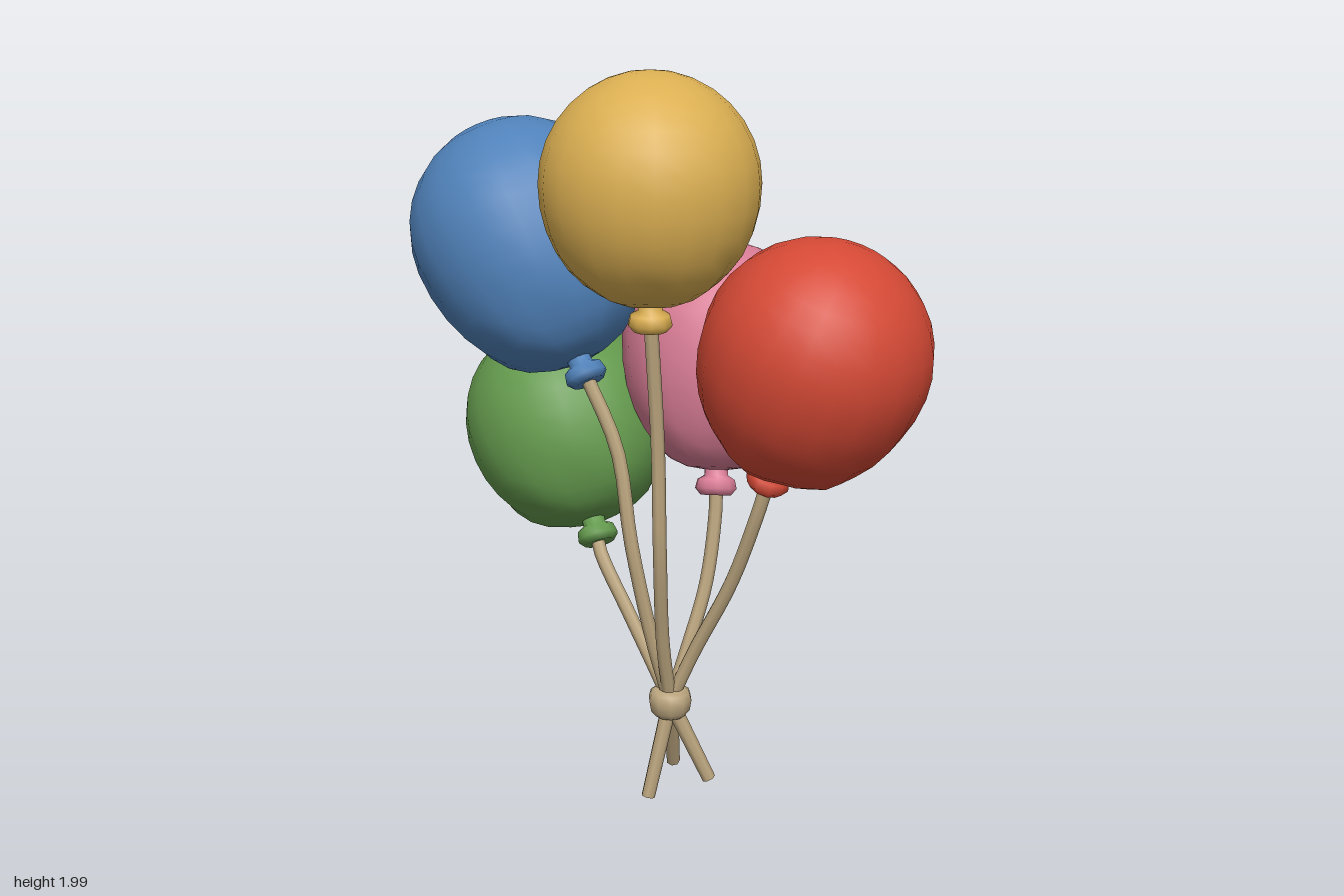
import * as THREE from 'three';
import { mergeVertices } from 'three/addons/utils/BufferGeometryUtils.js';

const V = (a) => new THREE.Vector3(...a);
const UP = new THREE.Vector3(0, 1, 0);

function material(name, color) {
  const m = new THREE.MeshStandardMaterial({ color });
  m.name = name;
  return m;
}

// Lathe with a welded seam so that the shading is smooth all round
function smoothLathe(points, sides, reshape) {
  let geo = new THREE.LatheGeometry(points.map(([x, y]) => new THREE.Vector2(x, y)), sides);
  geo.deleteAttribute('uv');
  geo.deleteAttribute('normal');
  geo = mergeVertices(geo, 1e-5);
  if (reshape) reshape(geo.attributes.position);
  geo.computeVertexNormals();
  return geo;
}

// Round on top, tapering below to the neck, with soft pinches near the neck
function bodyGeometry(radius, length) {
  const points = [];
  const steps = 8;
  for (let i = steps; i > 0; i--) {
    const a = (i / steps) * Math.PI / 2;
    const s = Math.sin(a);
    points.push([radius * Math.cos(a) * (1 - 0.1 * s) + 0.032 * s, -length * s]);
  }
  for (let i = 0; i <= steps; i++) {
    const a = (i / steps) * Math.PI / 2;
    points.push([i === steps ? 0 : radius * Math.cos(a), radius * Math.sin(a)]);
  }
  return smoothLathe(points, 20, (pos) => {
    for (let i = 0; i < pos.count; i++) {
      const x = pos.getX(i), y = pos.getY(i), z = pos.getZ(i);
      const w = THREE.MathUtils.smoothstep(-y / length, 0.55, 0.9);
      const k = 1 + 0.06 * w * Math.cos(5 * Math.atan2(x, z));
      pos.setXYZ(i, x * k, y, z * k);
    }
  });
}

const knotProfile = [[0, -0.03], [0.042, -0.034], [0.058, -0.016], [0.052, 0.008], [0.032, 0.02], [0.034, 0.055]];

const BIND = [-0.035, 0.28, 0.03];

// centre, radius, knot, string points from the knot down to the tie, and loose tail end
const balloons = [
  { name: 'yellow', color: 0xdbaf52, centre: [-0.168, 1.725, 0.118], radius: 0.275, knot: [-0.175, 1.39, 0.125],
    string: [[-0.145, 1.05, 0.115], [-0.135, 0.75, 0.11], [-0.085, 0.47, 0.06]] },
  { name: 'blue', color: 0x5082ba, centre: [-0.2, 1.54, -0.385], radius: 0.298, knot: [-0.185, 1.2, -0.14],
    string: [[-0.145, 1.0, -0.055], [-0.135, 0.75, -0.01], [-0.085, 0.47, 0.015]] },
  { name: 'red', color: 0xd54935, centre: [0.097, 1.315, 0.44], radius: 0.291, knot: [0.068, 0.968, 0.305],
    string: [[0.055, 0.85, 0.27], [0.04, 0.65, 0.19], [0, 0.43, 0.085]], tail: [0.045, 0.045, -0.055] },
  { name: 'pink', color: 0xd97d96, centre: [0.235, 1.23, -0.085], radius: 0.267, knot: [0.15, 0.86, 0],
    string: [[0.14, 0.78, 0.01], [0.095, 0.59, 0.025], [0.025, 0.42, 0.03]], tail: [-0.105, 0.012, 0.02] },
  { name: 'green', color: 0x659b4e, centre: [-0.025, 0.98, -0.447], radius: 0.279, knot: [-0.068, 0.7, -0.25],
    string: [[-0.08, 0.65, -0.215], [-0.065, 0.5, -0.11], [-0.05, 0.38, -0.03]], tail: [0.045, 0.05, 0.1] },
];

function createBalloon({ name, color, centre, radius, knot }) {
  const group = new THREE.Group();
  group.name = name + 'Balloon';
  const mat = material(name + ' rubber', color);
  const axis = V(centre).sub(V(knot));
  const distance = axis.length();
  group.position.copy(V(centre));
  group.quaternion.setFromUnitVectors(UP, axis.normalize());

  const body = new THREE.Mesh(bodyGeometry(radius, distance - 0.035), mat);
  body.name = 'balloonBody';
  const end = new THREE.Mesh(smoothLathe(knotProfile, 10), mat);
  end.name = 'balloonKnot';
  end.position.y = -distance;
  group.add(body, end);
  return group;
}

function createString({ name, knot, string, tail }, mat) {
  const group = new THREE.Group();
  group.name = name + 'String';
  const curve = new THREE.CatmullRomCurve3([knot, ...string, BIND].map(V));
  const strand = new THREE.Mesh(new THREE.TubeGeometry(curve, 16, 0.019, 7), mat);
  strand.name = 'strand';
  group.add(strand);
  // Loose end below the tie
  if (tail) {
    const axis = V(tail).sub(V(BIND));
    const end = new THREE.Mesh(new THREE.CylinderGeometry(0.022, 0.019, axis.length(), 7), mat);
    end.name = 'looseEnd';
    end.position.copy(V(BIND)).addScaledVector(axis, 0.5);
    end.quaternion.setFromUnitVectors(UP, axis.normalize().negate());
    group.add(end);
  }
  return group;
}

export function createModel() {
  const model = new THREE.Group();
  model.name = 'balloonBunch';
  const twine = material('tan twine', 0xbca67f);

  for (const balloon of balloons) {
    model.add(createBalloon(balloon), createString(balloon, twine));
  }

  // Band that ties the strings together
  const tie = new THREE.Mesh(smoothLathe(
    [[0, -0.036], [0.04, -0.04], [0.055, -0.022], [0.06, 0.008], [0.054, 0.03], [0.04, 0.038], [0, 0.034]], 10), twine);
  tie.name = 'stringTie';
  tie.position.copy(V(BIND));
  model.add(tie);
  return model;
}
